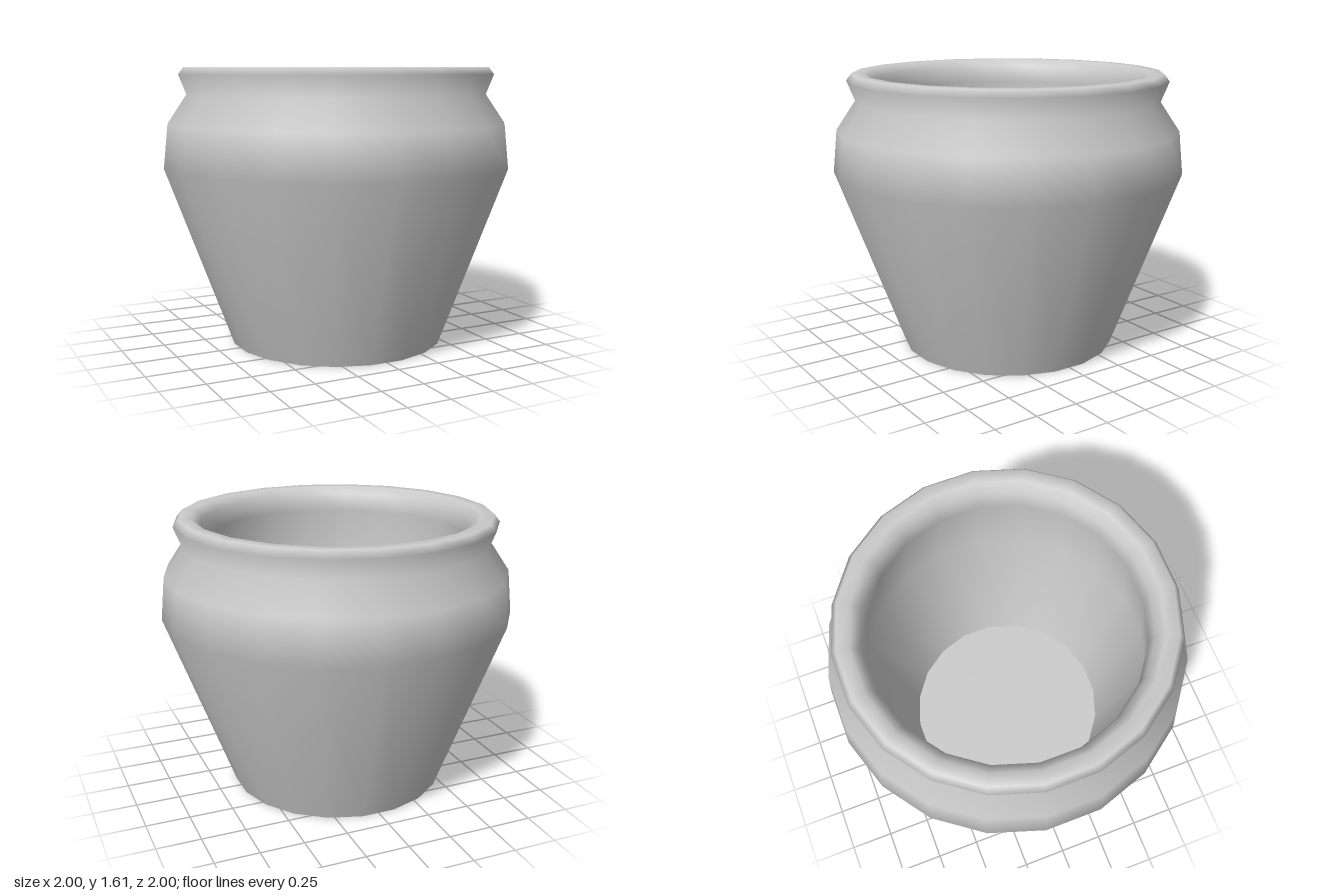
import * as THREE from 'three';

const SIDES = 20;
const TURN = Math.PI / SIDES; // flat facets face +x, -x, +z, -z
const toCorner = 1 / Math.cos(TURN); // facet distance -> corner radius

export function createModel() {
  const group = new THREE.Group();
  group.name = 'pot';
  const material = new THREE.MeshStandardMaterial({ color: 0xcccccc });

  const add = (name, geometry) => {
    const mesh = new THREE.Mesh(geometry, material);
    mesh.name = name;
    group.add(mesh);
    return mesh;
  };

  // Wall: up the outside, over the rolled rim, down the slightly bellied inside
  const profile = [
    [0.62, 0], [1.0, 1.045], [0.975, 1.29], [0.865, 1.455], [0.91, 1.57], [0.88, 1.61],
    [0.81, 1.61], [0.76, 1.57], [0.738, 1.47], [0.79, 1.0], [0.58, 0.13],
  ].map(([r, y]) => new THREE.Vector2(r * toCorner, y));
  add('wall', new THREE.LatheGeometry(profile, SIDES, TURN));

  // Flat discs closing the underside and the inside
  const disc = (r) => new THREE.CircleGeometry(r * toCorner, SIDES, TURN);
  add('base', disc(0.62).rotateX(Math.PI / 2));
  add('innerFloor', disc(0.58).rotateX(-Math.PI / 2)).position.y = 0.13;

  return group;
}
